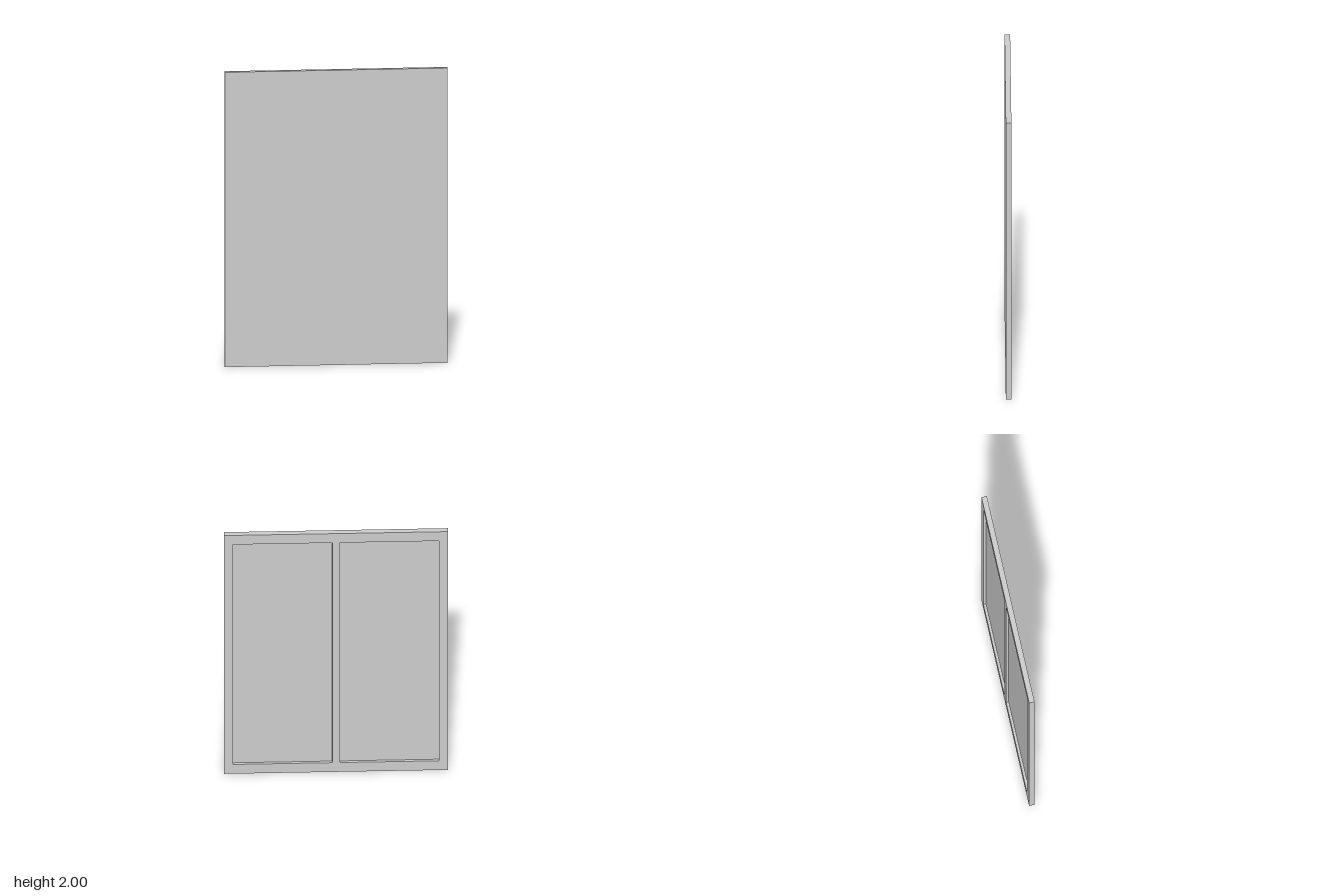
import * as THREE from 'three';

const W = 1.49, H = 2, D = 0.037;        // overall size
const RECESS = 0.018;                    // depth of the back recesses
const SIDE = 0.06, RAIL = 0.077, MID = 0.05;

// Traces a rectangle as a shape or a hole
function rect(path, x0, y0, x1, y1) {
  path.moveTo(x0, y0);
  path.lineTo(x1, y0);
  path.lineTo(x1, y1);
  path.lineTo(x0, y1);
  path.closePath();
  return path;
}

export function createModel() {
  const group = new THREE.Group();
  group.name = 'doublePanel';
  const material = new THREE.MeshStandardMaterial({ color: 0xcccccc });

  // Flat front board, also the floor of the recesses
  const board = new THREE.Mesh(new THREE.BoxGeometry(W, H, D - RECESS), material);
  board.name = 'frontBoard';
  board.position.set(0, H / 2, RECESS / 2);
  group.add(board);

  // Raised back frame with two tall openings and a middle stile
  const outline = rect(new THREE.Shape(), -W / 2, 0, W / 2, H);
  const inner = MID / 2, outer = W / 2 - SIDE;
  for (const [x0, x1] of [[-outer, -inner], [inner, outer]]) {
    outline.holes.push(rect(new THREE.Path(), x0, RAIL, x1, H - RAIL));
  }
  const frame = new THREE.Mesh(
    new THREE.ExtrudeGeometry(outline, { depth: RECESS, bevelEnabled: false }),
    material
  );
  frame.name = 'backFrame';
  frame.position.z = -D / 2;
  group.add(frame);

  return group;
}
